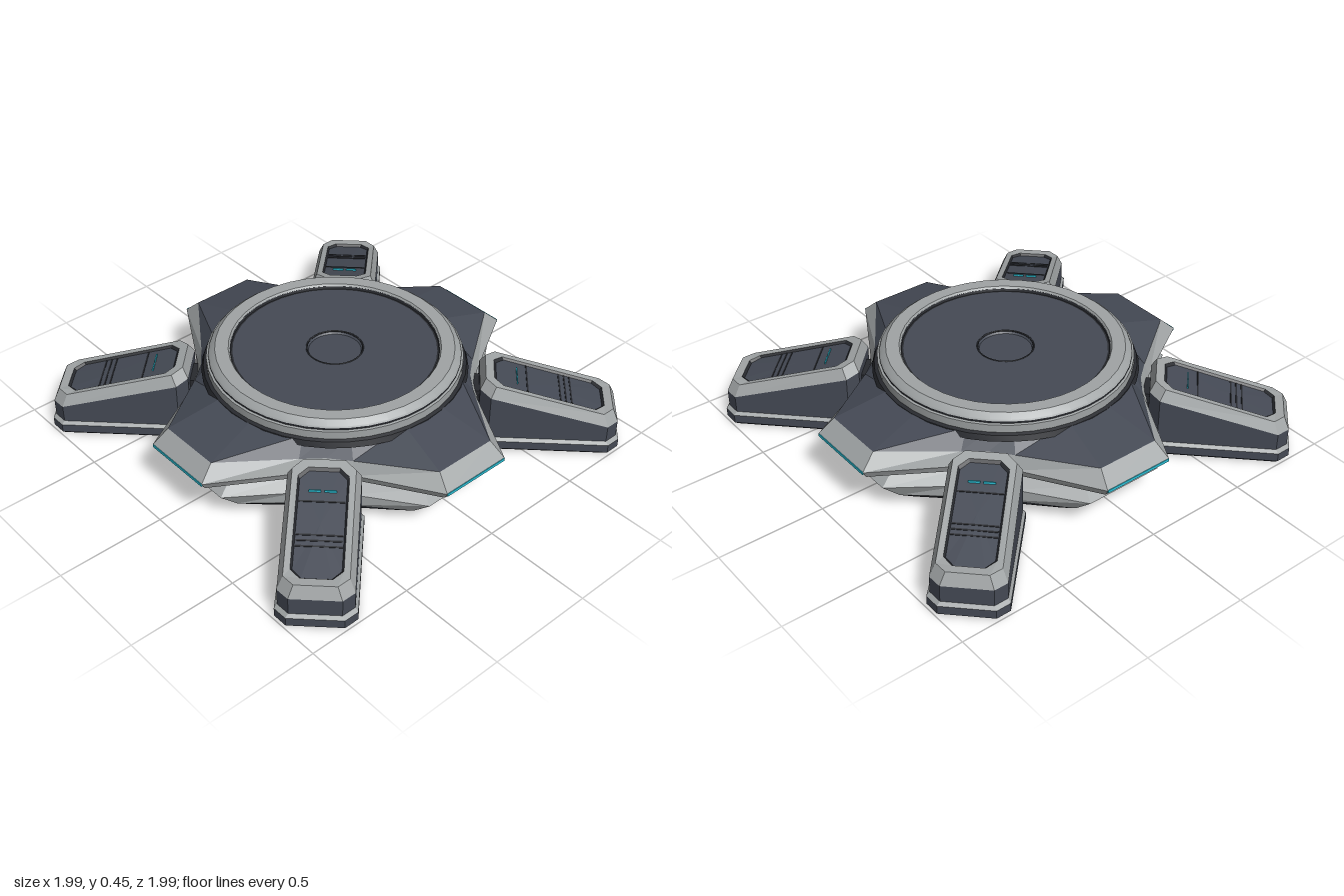
import * as THREE from 'three';
import { toCreasedNormals } from 'three/addons/utils/BufferGeometryUtils.js';

const mat = (name, color) => Object.assign(new THREE.MeshStandardMaterial({ color }), { name });

// Skin between closed rings of points listed from bottom to top, flat faceted
function loft(rings, capStart = false, capEnd = false) {
  const pos = [];
  const tri = (a, b, c) => pos.push(...a, ...b, ...c);
  const n = rings[0].length;
  for (let i = 0; i < rings.length - 1; i++) {
    for (let j = 0; j < n; j++) {
      const k = (j + 1) % n, lo = rings[i], hi = rings[i + 1];
      tri(lo[j], lo[k], hi[k]);
      tri(lo[j], hi[k], hi[j]);
    }
  }
  const cap = (ring, up) => {
    const c = [0, 1, 2].map((d) => ring.reduce((s, p) => s + p[d], 0) / n);
    ring.forEach((p, j) => {
      const q = ring[(j + 1) % n];
      if (up) tri(c, p, q); else tri(c, q, p);
    });
  };
  if (capStart) cap(rings[0], false);
  if (capEnd) cap(rings[rings.length - 1], true);
  const g = new THREE.BufferGeometry();
  g.setAttribute('position', new THREE.Float32BufferAttribute(pos, 3));
  g.computeVertexNormals();
  return g;
}

// Four-lobed outline: lobe tip, waist corner and diagonal radius
function lobes(tipR, tipHalf, waistX, waistZ, diag, yTip, yWaist = yTip) {
  const pts = [], d = diag * Math.SQRT1_2;
  const quarter = [[-waistX, waistZ, yWaist], [-tipHalf, tipR, yTip], [tipHalf, tipR, yTip],
    [waistX, waistZ, yWaist], [d, d, yWaist]];
  for (let k = 0; k < 4; k++) {
    const c = Math.cos(k * Math.PI / 2), s = Math.sin(k * Math.PI / 2);
    for (const [x, z, y] of quarter) pts.push([x * c + z * s, y, -x * s + z * c]);
  }
  return pts;
}

// Chamfered rectangle; y is a number or a function of z
function oct(hl, hw, c, y) {
  const f = typeof y === 'function' ? y : () => y;
  return [[hw - c, hl], [hw, hl - c], [hw, c - hl], [hw - c, -hl],
    [c - hw, -hl], [-hw, c - hl], [-hw, hl - c], [c - hw, hl]].map(([x, z]) => [x, f(z), z]);
}

export function createModel() {
  const hull = mat('slate hull', 0x454a55);
  const trim = mat('light grey trim', 0xa0a4a5);
  const black = mat('charcoal', 0x282a2f);
  const cyan = mat('cyan light', 0x2cc0d6);

  const model = new THREE.Group();
  model.name = 'landingPad';
  const add = (parent, name, geo, material, x = 0, y = 0, z = 0) => {
    const m = new THREE.Mesh(geo, material);
    m.name = name;
    m.position.set(x, y, z);
    parent.add(m);
    return m;
  };
  const lathe = (pts) => toCreasedNormals(
    new THREE.LatheGeometry(pts.map(([r, y]) => new THREE.Vector2(r, y)), 40), 0.4);

  // Upper hull: dark sloped deck and light edge
  const deckEdge = lobes(0.82, 0.15, 0.36, 0.52, 0.61, 0.315, 0.3);
  const deckInner = deckEdge.map(([x, , z]) => {
    const l = Math.hypot(x, z);
    return [x / l * 0.565, 0.375, z / l * 0.565];
  });
  const rim = lobes(0.89, 0.172, 0.375, 0.54, 0.635, 0.25, 0.24);
  const rimLow = lobes(0.87, 0.165, 0.365, 0.53, 0.62, 0.215, 0.205);
  add(model, 'deck', loft([deckEdge, deckInner]), hull);
  add(model, 'deckTrim', loft([rimLow, rim, deckEdge]), trim);

  // Dark gap and lower hull
  const gapTop = lobes(0.74, 0.16, 0.34, 0.5, 0.6, 0.2);
  const gapLow = lobes(0.75, 0.17, 0.34, 0.5, 0.6, 0.185);
  const lowRim = lobes(0.81, 0.19, 0.385, 0.54, 0.645, 0.14);
  const lowEdge = lobes(0.74, 0.21, 0.4, 0.52, 0.64, 0.08);
  const bottom = lobes(0.68, 0.24, 0.42, 0.49, 0.63, 0.06);
  add(model, 'hullGap', loft([gapLow, gapTop, rimLow]), black);
  add(model, 'lowerTrim', loft([lowEdge, lowRim, gapLow]), trim);
  add(model, 'underside', loft([bottom, lowEdge], true), black);
  add(model, 'undersideRing', new THREE.RingGeometry(0.26, 0.3, 40), trim, 0, 0.057, 0)
    .rotation.x = Math.PI / 2;

  // Raised round platform
  add(model, 'collar', lathe([[0.6, 0.345], [0.59, 0.37], [0.56, 0.38]]), black);
  add(model, 'lowerRing', lathe([[0.575, 0.37], [0.575, 0.412], [0.56, 0.416]]), trim);
  add(model, 'ringSeam', lathe([[0.565, 0.41], [0.565, 0.424]]), black);
  add(model, 'upperRing', lathe([[0.565, 0.421], [0.56, 0.43], [0.535, 0.45], [0.475, 0.45], [0.468, 0.44]]), trim);
  add(model, 'innerLip', lathe([[0.469, 0.442], [0.465, 0.428], [0.455, 0.426]]), black);
  add(model, 'platformFloor', lathe([[0.457, 0.428], [0.13, 0.428], [0.118, 0.414], [0, 0.414]]), hull);
  add(model, 'centreGroove', new THREE.TorusGeometry(0.126, 0.004, 6, 40), black, 0, 0.426, 0)
    .rotation.x = Math.PI / 2;

  // Light strip on each lobe tip
  for (let k = 0; k < 4; k++) {
    const g = new THREE.Group();
    g.name = 'lobeLight';
    g.rotation.y = k * Math.PI / 2;
    add(g, 'lobeLightStrip', new THREE.BoxGeometry(0.34, 0.014, 0.008), cyan, 0, 0.245, 0.887);
    model.add(g);
  }

  // Four diagonal legs, built along z and turned into place
  const slope = 0.28;
  const topY = (z) => 0.205 + Math.max(0, 0.23 - z) * slope;
  const shoulder = (z) => topY(z) - 0.055;
  const sunk = (z) => topY(z) - 0.01;
  for (let k = 0; k < 4; k++) {
    const turn = new THREE.Group();
    turn.name = 'leg';
    turn.rotation.y = Math.PI / 4 + k * Math.PI / 2;
    const leg = new THREE.Group();
    leg.name = 'legBody';
    leg.position.z = 0.965;
    turn.add(leg);
    model.add(turn);

    add(leg, 'footSole', loft([oct(0.25, 0.1, 0.035, 0.008), oct(0.258, 0.108, 0.037, 0),
      oct(0.31, 0.152, 0.045, 0)], true), black);
    add(leg, 'foot', loft([oct(0.31, 0.152, 0.045, 0), oct(0.325, 0.167, 0.05, 0.015),
      oct(0.325, 0.167, 0.05, 0.055)]), hull);
    add(leg, 'footTrim', loft([oct(0.325, 0.167, 0.05, 0.055), oct(0.312, 0.155, 0.048, 0.07)]), trim);
    add(leg, 'legSide', loft([oct(0.312, 0.155, 0.048, 0.07), oct(0.312, 0.155, 0.048, shoulder)]), hull);
    add(leg, 'legTrim', loft([oct(0.312, 0.155, 0.048, shoulder), oct(0.288, 0.132, 0.045, topY),
      oct(0.25, 0.106, 0.04, topY)]), trim);
    add(leg, 'panelEdge', loft([oct(0.25, 0.106, 0.04, topY), oct(0.24, 0.098, 0.037, sunk)]), black);
    add(leg, 'legPanel', loft([oct(0.24, 0.098, 0.037, sunk)], false, true), hull);
    for (const z of [-0.1, 0.05, 0.075, 0.1]) {
      add(leg, 'panelGroove', new THREE.BoxGeometry(0.19, 0.006, 0.007), black, 0, sunk(z), z)
        .rotation.x = Math.atan(slope);
    }
    for (const s of [-1, 1]) {
      add(leg, 'legLight', new THREE.BoxGeometry(0.05, 0.014, 0.005), cyan, s * 0.032, sunk(-0.145) + 0.003, -0.145);
    }
    // Joint between hull and leg
    add(turn, 'legJoint', new THREE.BoxGeometry(0.13, 0.15, 0.12), black, 0, 0.185, 0.62);
  }
  return model;
}
